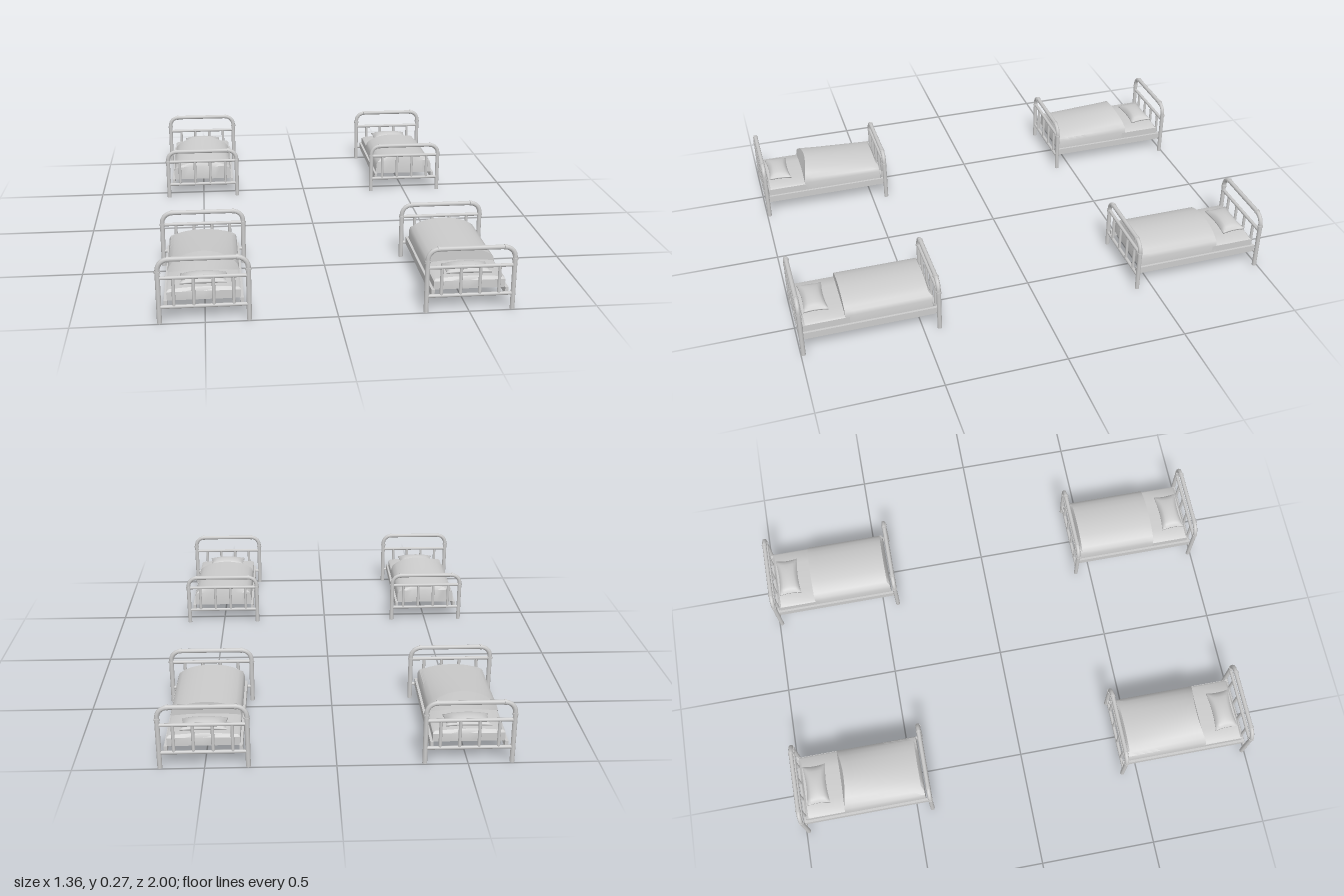
import * as THREE from 'three';
import { mergeVertices, toCreasedNormals } from 'three/addons/utils/BufferGeometryUtils.js';

const grey = new THREE.MeshStandardMaterial({ color: 0xcccccc });
const cloth = new THREE.MeshStandardMaterial({ color: 0xcccccc, side: THREE.DoubleSide });
const V = (x, y, z) => new THREE.Vector3(x, y, z);

const POST_X = 0.167, TUBE_R = 0.0095;
const HEAD_Z = 0.99, FOOT_Z = 0.434;

function add(parent, name, geometry, material = grey) {
  const mesh = new THREE.Mesh(geometry, material);
  mesh.name = name;
  parent.add(mesh);
  return mesh;
}

// Straight round bar between two points
function rod(parent, name, a, b, r, sides = 8) {
  const mesh = add(parent, name, new THREE.CylinderGeometry(r, r, a.distanceTo(b), sides));
  mesh.position.copy(a).lerp(b, 0.5);
  mesh.quaternion.setFromUnitVectors(V(0, 1, 0), b.clone().sub(a).normalize());
  return mesh;
}

// Head or foot end: bent tube, two rails, four uprights and small collars
function endFrame(name, top, z) {
  const group = new THREE.Group();
  group.name = name;
  const bend = 0.04;
  const path = new THREE.CurvePath();
  path.add(new THREE.LineCurve3(V(-POST_X, 0, 0), V(-POST_X, top - bend, 0)));
  path.add(new THREE.QuadraticBezierCurve3(V(-POST_X, top - bend, 0), V(-POST_X + 0.005, top - 0.005, 0), V(-POST_X + bend, top, 0)));
  path.add(new THREE.LineCurve3(V(-POST_X + bend, top, 0), V(POST_X - bend, top, 0)));
  path.add(new THREE.QuadraticBezierCurve3(V(POST_X - bend, top, 0), V(POST_X - 0.005, top - 0.005, 0), V(POST_X, top - bend, 0)));
  path.add(new THREE.LineCurve3(V(POST_X, top - bend, 0), V(POST_X, 0, 0)));
  add(group, 'bentTube', new THREE.TubeGeometry(path, 64, TUBE_R, 8), cloth);

  rod(group, 'middleRail', V(-POST_X, 0.181, 0), V(POST_X, 0.181, 0), 0.0075);
  rod(group, 'lowerRail', V(-POST_X, 0.065, 0), V(POST_X, 0.065, 0), 0.0075);
  for (const x of [-0.111, -0.037, 0.037, 0.111]) {
    rod(group, 'upright', V(x, 0.065, 0), V(x, 0.181, 0), 0.0065);
  }
  for (const s of [-1, 1]) {
    const cx = s * (POST_X - bend), px = s * POST_X, cy = top - bend - 0.01;
    rod(group, 'topCollar', V(cx - 0.004, top, 0), V(cx + 0.004, top, 0), 0.0118);
    rod(group, 'postCollar', V(px, cy - 0.004, 0), V(px, cy + 0.004, 0), 0.0118);
  }
  group.position.z = z;
  return group;
}

// Open shell through a list of equal-length cross-sections
function loft(sections) {
  const n = sections[0].length, index = [];
  for (let i = 0; i < sections.length - 1; i++) {
    for (let j = 0; j < n - 1; j++) {
      const a = i * n + j, b = a + n;
      index.push(a, b, a + 1, b, b + 1, a + 1);
    }
  }
  const g = new THREE.BufferGeometry();
  g.setAttribute('position', new THREE.Float32BufferAttribute(sections.flat().flatMap(p => [p.x, p.y, p.z]), 3));
  g.setIndex(index);
  g.computeVertexNormals();
  return toCreasedNormals(g, 0.6);
}

// Mirror a half profile of [x, y], running from the left edge to the right
function mirrored(half) {
  return [...half.map(([x, y]) => [-x, y]), ...half.slice(0, -1).reverse()];
}

const WIDTH = 0.138, BASE = 0.085, EDGE = 0.126;

// Mattress: sides and the top that shows beside the pillow
function mattress() {
  const profile = mirrored([[WIDTH, BASE], [WIDTH, EDGE - 0.006], [WIDTH - 0.008, EDGE], [0.07, 0.131], [0, 0.133]]);
  const at = (z, cap) => profile.map(([x, y]) => V(x, Math.min(y, cap), z));
  return loft([at(0.79, 1), at(0.968, 1), at(0.977, EDGE - 0.008), at(0.977, BASE)]);
}

// Blanket: domed cover over the sleeping area, closed at both ends
function blanket(headCrown, footCrown, bow) {
  const rows = 10, z0 = 0.465, z1 = 0.808;
  const at = (t, z, cap, curve) => {
    const crown = THREE.MathUtils.lerp(footCrown, headCrown, t);
    const k = (crown - EDGE) / 0.06;
    const half = [[WIDTH, BASE], [WIDTH, EDGE], [0.132, EDGE + 0.018 * k], [0.115, EDGE + 0.032 * k],
      [0.092, EDGE + 0.044 * k], [0.062, EDGE + 0.053 * k], [0.03, EDGE + 0.058 * k], [0, crown]];
    return mirrored(half).map(([x, y]) => V(x, Math.min(y, cap), z - curve * (1 - (x / WIDTH) ** 2)));
  };
  const sections = [at(0, 0.452, BASE, 0), at(0, 0.454, EDGE + 0.02, 0)];
  for (let i = 0; i <= rows; i++) {
    const t = i / rows;
    sections.push(at(t, THREE.MathUtils.lerp(z0, z1, t), 1, bow * t * t));
  }
  sections.push(at(1, z1, EDGE, 0));
  return loft(sections);
}

// Pillow: a box puffed in the middle, with its edges drawn in between the corners
function pillow() {
  let g = new THREE.BoxGeometry(2, 2, 2, 12, 1, 10);
  const p = g.attributes.position;
  for (let i = 0; i < p.count; i++) {
    const u = p.getX(i), v = p.getZ(i), side = p.getY(i);
    const puff = Math.sqrt((1 - u * u) * (1 - v * v));
    const height = side > 0 ? 0.003 + 0.024 * puff : -0.003 - 0.008 * puff;
    p.setXYZ(i, 0.088 * u * (1 - 0.07 * (1 - v * v)), height, 0.05 * v * (1 - 0.14 * (1 - u * u)));
  }
  g.deleteAttribute('normal');
  g.deleteAttribute('uv');
  g = mergeVertices(g);
  g.computeVertexNormals();
  return g;
}

function bed(bowed) {
  const group = new THREE.Group();
  group.name = 'bed';
  group.add(endFrame('headFrame', 0.255, HEAD_Z), endFrame('footFrame', 0.232, FOOT_Z));

  // Side rails
  for (const s of [-1, 1]) {
    const rail = add(group, 'sideRail', new THREE.BoxGeometry(0.012, 0.03, HEAD_Z - FOOT_Z));
    rail.position.set(s * 0.142, 0.075, (HEAD_Z + FOOT_Z) / 2);
  }

  // Bedding
  add(group, 'mattress', mattress(), cloth);
  add(group, 'blanket', bowed ? blanket(0.202, 0.168, 0.022) : blanket(0.183, 0.183, 0), cloth);
  const cushion = add(group, 'pillow', pillow());
  cushion.position.set(0, 0.142, 0.914);
  cushion.rotation.x = -0.05;
  return group;
}

export function createModel() {
  const model = new THREE.Group();
  model.name = 'fourBeds';
  // Two rows of beds, foot to foot
  for (const sx of [-1, 1]) {
    for (const sz of [-1, 1]) {
      const b = bed(sx < 0);
      b.position.x = sx * 0.502;
      b.rotation.y = sz < 0 ? Math.PI : 0;
      model.add(b);
    }
  }
  return model;
}
